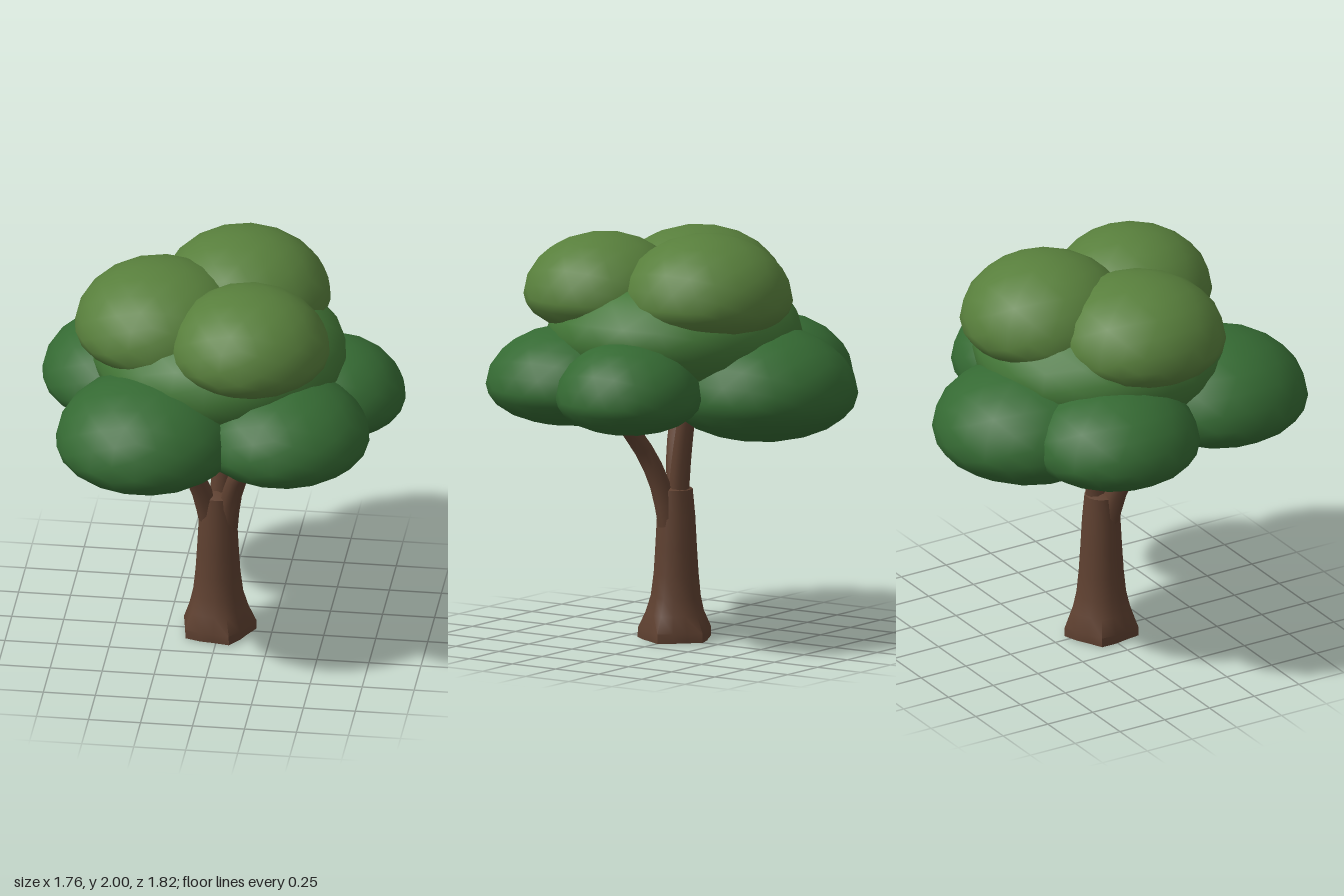
import * as THREE from 'three';
import { mergeVertices, toCreasedNormals } from 'three/addons/utils/BufferGeometryUtils.js';

const bark = new THREE.MeshStandardMaterial({ color: 0x5e4030 });
const lowLeaf = new THREE.MeshStandardMaterial({ color: 0x356a33 });
const midLeaf = new THREE.MeshStandardMaterial({ color: 0x437737 });
const topLeaf = new THREE.MeshStandardMaterial({ color: 0x587f3c });

function add(group, name, geometry, material) {
  const mesh = new THREE.Mesh(geometry, material);
  mesh.name = name;
  group.add(mesh);
  return mesh;
}

// Round leaf clump: domed above its widest line, flatter below it
function clumpGeometry(radius, up, down) {
  let geo = new THREE.IcosahedronGeometry(1, 3);
  geo.deleteAttribute('uv');
  geo.deleteAttribute('normal');
  geo = mergeVertices(geo, 1e-3);
  const p = geo.attributes.position;
  for (let i = 0; i < p.count; i++) {
    const y = p.getY(i);
    p.setXYZ(i, p.getX(i) * radius, y * (y > 0 ? up : down), p.getZ(i) * radius);
  }
  geo.computeVertexNormals();
  return geo;
}

// Trunk: lathed profile whose foot swells into five root lobes
function trunkGeometry() {
  const profile = [
    [0, 0], [0.168, 0.005], [0.17, 0.05], [0.14, 0.13], [0.12, 0.21], [0.108, 0.32],
    [0.1, 0.45], [0.092, 0.6], [0.08, 0.73], [0, 0.76],
  ].map(([r, y]) => new THREE.Vector2(r, y));
  const geo = new THREE.LatheGeometry(profile, 15);
  geo.deleteAttribute('uv');
  const p = geo.attributes.position;
  for (let i = 0; i < p.count; i++) {
    const x = p.getX(i), y = p.getY(i), z = p.getZ(i);
    const flare = Math.max(0, 1 - y / 0.25);
    const k = 1 + 0.11 * flare * Math.cos(5 * (Math.atan2(x, z) + 0.8));
    p.setXYZ(i, x * k - 0.01, y, z * k);
  }
  return toCreasedNormals(geo, 0.9);
}

// Tapering branch that follows a smooth curve
function branchGeometry(points, r0, r1) {
  const curve = new THREE.CatmullRomCurve3(points.map((a) => new THREE.Vector3(...a)));
  const rings = 8, sides = 9;
  const geo = new THREE.TubeGeometry(curve, rings, 1, sides);
  const p = geo.attributes.position;
  const v = new THREE.Vector3();
  for (let i = 0; i < p.count; i++) {
    const t = Math.floor(i / (sides + 1)) / rings;
    const c = curve.getPointAt(t);
    v.fromBufferAttribute(p, i).sub(c).multiplyScalar(r0 + (r1 - r0) * t).add(c);
    p.setXYZ(i, v.x, v.y, v.z);
  }
  return geo;
}

export function createModel() {
  const tree = new THREE.Group();
  tree.name = 'tree';

  add(tree, 'trunk', trunkGeometry(), bark);

  // Three branches spreading into the crown
  const branches = [
    ['rightBranch', [[-0.04, 0.56, 0.01], [-0.075, 0.74, 0.04], [-0.125, 0.88, 0.08], [-0.24, 1.06, 0.14], [-0.36, 1.25, 0.22]]],
    ['leftBranch', [[0.035, 0.56, 0.01], [0.06, 0.74, 0.04], [0.11, 0.89, 0.08], [0.22, 1.06, 0.13], [0.34, 1.25, 0.2]]],
    ['backBranch', [[-0.005, 0.6, -0.01], [0, 0.75, -0.025], [0.01, 0.92, -0.05], [0.02, 1.1, -0.085], [0.02, 1.3, -0.14]]],
  ];
  for (const [name, pts] of branches) add(tree, name, branchGeometry(pts, 0.053, 0.038), bark);

  // Leaf clumps: name, centre, radius, height above and below the widest line
  const crown = new THREE.Group();
  crown.name = 'crown';
  tree.add(crown);
  const clumps = [
    ['backLowerClump', [-0.08, 1.23, -0.45], 0.46, 0.32, 0.23, lowLeaf],
    ['rightLowerClump', [-0.465, 1.25, -0.21], 0.415, 0.29, 0.19, lowLeaf],
    ['frontRightLowerClump', [-0.29, 1.25, 0.475], 0.435, 0.32, 0.2, lowLeaf],
    ['frontLeftLowerClump', [0.35, 1.25, 0.35], 0.415, 0.29, 0.19, lowLeaf],
    ['leftLowerClump', [0.53, 1.25, -0.1], 0.35, 0.28, 0.17, lowLeaf],
    ['middleClump', [0, 1.5, 0], 0.61, 0.33, 0.32, midLeaf],
    ['rightUpperClump', [-0.275, 1.65, 0.05], 0.415, 0.31, 0.19, topLeaf],
    ['frontUpperClump', [0.18, 1.67, 0.285], 0.385, 0.3, 0.18, topLeaf],
    ['backUpperClump', [0.09, 1.68, -0.25], 0.41, 0.32, 0.19, topLeaf],
  ];
  for (const [name, pos, r, up, down, mat] of clumps) {
    add(crown, name, clumpGeometry(r, up, down), mat).position.set(...pos);
  }
  return tree;
}
